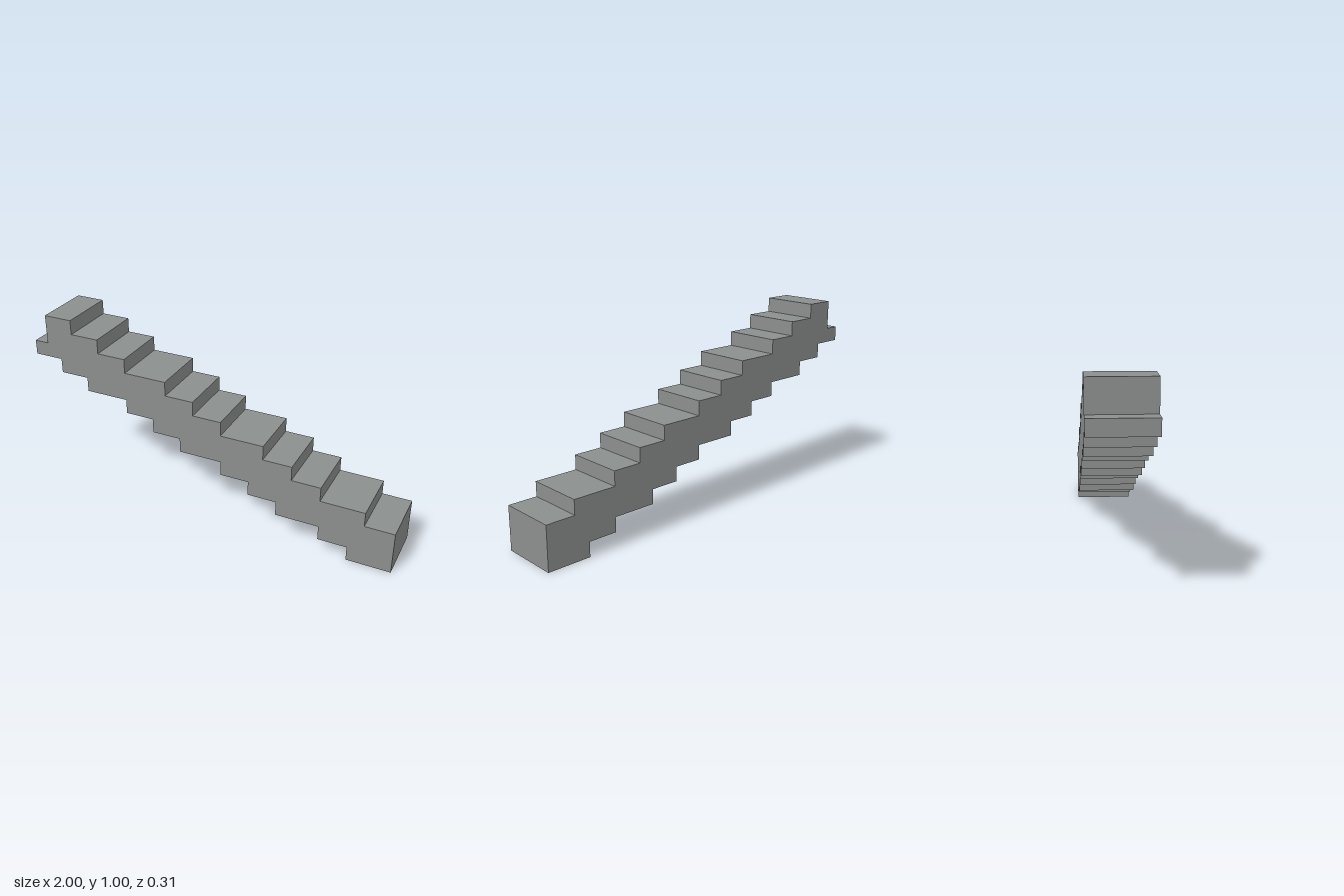
import * as THREE from 'three';

const UNIT = 1 / 13; // grid module: 26 long, 13 high, 4 deep

// Outline of the stepped flight, in grid modules
function stepOutline() {
  const points = [];

  // Underside, climbing from the foot (right) to the top landing (left)
  const undersideEdges = [13, 10, 8, 5, 3, 1, -2, -4, -6, -9, -11, -13];
  for (let i = 0; i < undersideEdges.length - 1; i++) {
    points.push([undersideEdges[i], i], [undersideEdges[i + 1], i]);
  }

  // Ledge behind the highest step
  points.push([-13, 11], [-12, 11]);

  // Treads, descending from the top to the foot
  const treadEdges = [-12, -10, -8, -6, -3, -1, 1, 4, 6, 8, 11, 13];
  for (let i = 0; i < treadEdges.length - 1; i++) {
    points.push([treadEdges[i], 13 - i], [treadEdges[i + 1], 13 - i]);
  }

  // Clockwise walk reversed to run counter-clockwise
  return points.reverse().map(([x, y]) => new THREE.Vector2(x * UNIT, y * UNIT));
}

export function createModel() {
  const group = new THREE.Group();
  group.name = 'staircase';

  const stone = new THREE.MeshStandardMaterial({ color: 0x8b8f8e });
  stone.name = 'grey stone';

  // Solid flight of steps, extruded across its width
  const depth = 4 * UNIT;
  const geometry = new THREE.ExtrudeGeometry(new THREE.Shape(stepOutline()), {
    depth,
    bevelEnabled: false,
  });
  geometry.translate(0, 0, -depth / 2);

  const steps = new THREE.Mesh(geometry, stone);
  steps.name = 'steps';
  group.add(steps);
  return group;
}
